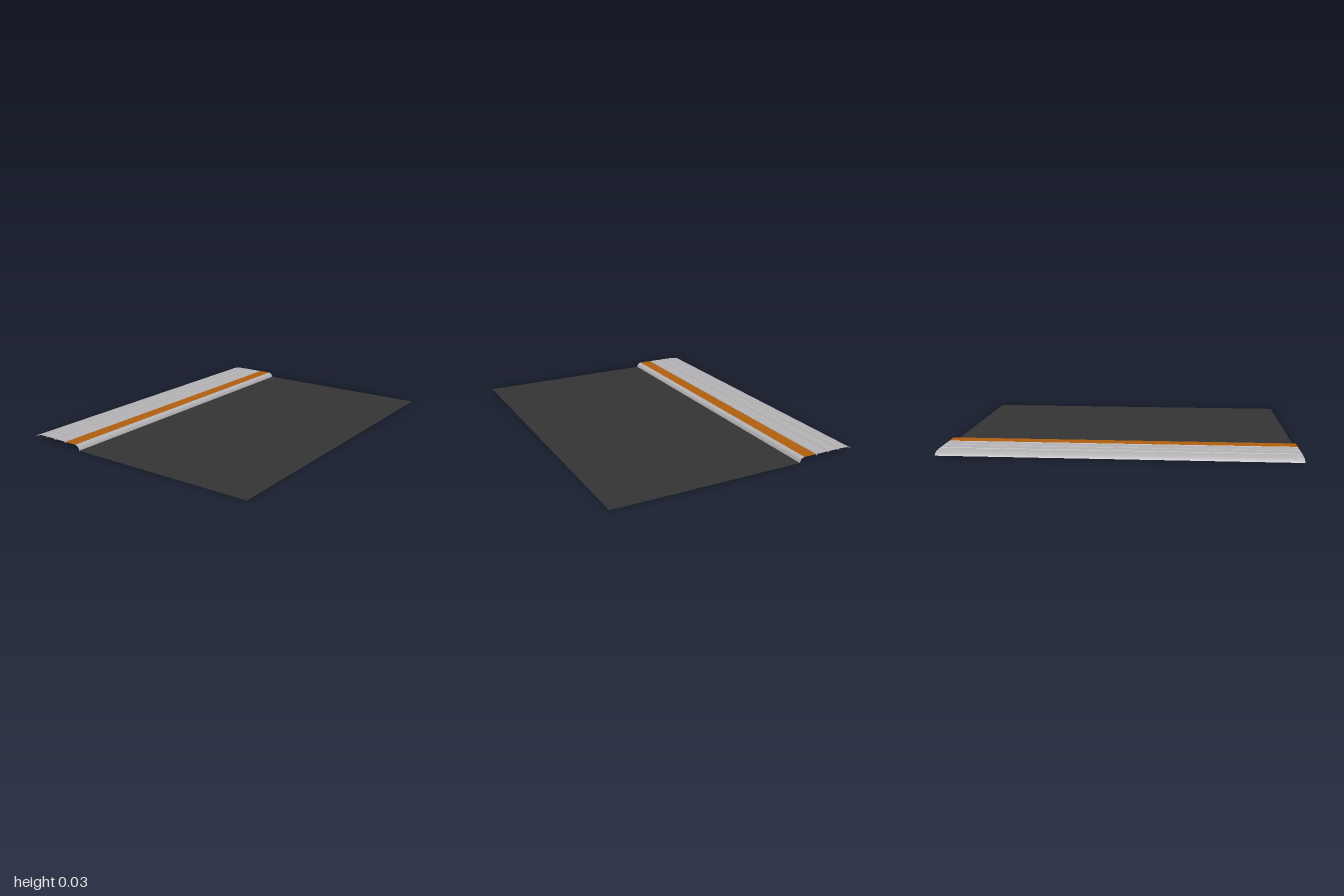
import * as THREE from 'three';

// Open sheet spanning x = -1..1, swept along a [z, y] profile running front to back
function strip(name, profile, material) {
  const positions = [];
  const index = [];
  profile.forEach(([z, y], i) => {
    positions.push(-1, y, z, 1, y, z);
    if (i > 0) {
      const a = 2 * (i - 1);
      index.push(a, a + 1, a + 3, a, a + 3, a + 2);
    }
  });
  const geometry = new THREE.BufferGeometry();
  geometry.setAttribute('position', new THREE.Float32BufferAttribute(positions, 3));
  geometry.setIndex(index);
  geometry.computeVertexNormals();
  const mesh = new THREE.Mesh(geometry, material);
  mesh.name = name;
  return mesh;
}

function flatMaterial(name, color) {
  const material = new THREE.MeshStandardMaterial({ color, side: THREE.DoubleSide });
  material.name = name;
  return material;
}

export function createModel() {
  const model = new THREE.Group();
  model.name = 'roadWithPavement';
  const asphalt = flatMaterial('asphalt', 0x353535);
  const concrete = flatMaterial('concrete', 0xb6b4b6);
  const orange = flatMaterial('orangePaving', 0xb0600f);
  const top = 0.03;

  // Road surface
  model.add(strip('road', [[0.76, 0], [-0.39, 0]], asphalt));

  // Rounded kerb rising from the road
  model.add(strip('kerb', [[-0.39, 0], [-0.394, 0.014], [-0.403, 0.025], [-0.42, top]], concrete));

  // Coloured paving band
  model.add(strip('pavingBand', [[-0.42, top], [-0.5, top]], orange));

  // Pavement slabs, each preceded by a narrow groove
  const slabs = [[-0.5, -0.51, -0.586], [-0.586, -0.593, -0.656], [-0.656, -0.666, -0.715]];
  slabs.forEach(([start, end, back], i) => {
    const middle = (start + end) / 2;
    model.add(strip(`groove${i + 1}`, [[start, top], [middle, top - 0.009], [end, top]], concrete));
    if (i < 2) model.add(strip(`slab${i + 1}`, [[end, top], [back, top]], concrete));
  });

  // Back slab curving down at its outer edge
  model.add(strip('backSlab', [
    [-0.666, top], [-0.7, 0.029], [-0.73, 0.026], [-0.75, 0.019], [-0.76, 0.008],
  ], concrete));

  return model;
}
